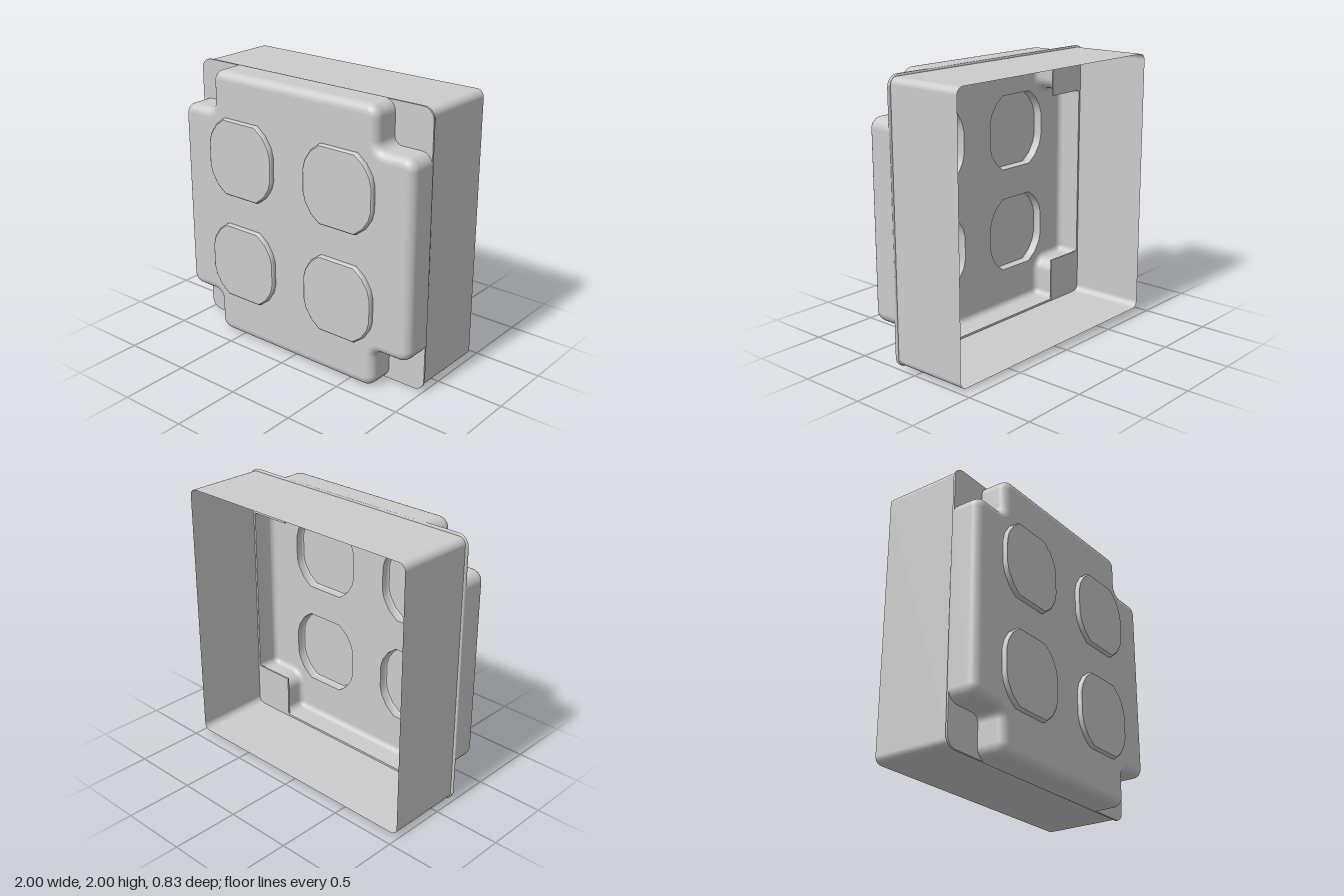
import * as THREE from 'three';

const material = new THREE.MeshStandardMaterial({ color: 0xcccccc, side: THREE.DoubleSide });
const CY = 1; // height of the box centre

// Points along an arc
function arc(cx, cy, r, from, to, steps = 6) {
  const pts = [];
  for (let i = 0; i <= steps; i++) {
    const a = (from + (to - from) * i / steps) * Math.PI / 180;
    pts.push(new THREE.Vector2(cx + r * Math.cos(a), cy + r * Math.sin(a)));
  }
  return pts;
}

// Repeat one quadrant of an outline four times around the centre
function fourfold(quadrant) {
  const pts = [];
  for (let k = 0; k < 4; k++)
    for (const p of quadrant) pts.push(p.clone().rotateAround(new THREE.Vector2(), k * Math.PI / 2));
  return pts;
}

const roundedSquare = (h, r) => fourfold(arc(h - r, h - r, r, 0, 90));

// Square with notched corners, moved inwards by "inset"
function notchedOutline(inset) {
  const h = 1 - inset, n = 0.71 - inset, r = 0.08 - inset, R = 0.06 + inset;
  return fourfold([
    ...arc(h - r, n - r, r, 0, 90),
    ...arc(n + R, n + R, R, 270, 180),
    ...arc(n - r, h - r, r, 0, 90),
  ]);
}

// Skin through closed outlines, each given as [points, z]
function loft(sections) {
  const pos = [], idx = [], n = sections[0][0].length;
  for (const [pts, z] of sections) for (const p of pts) pos.push(p.x, p.y, z);
  for (let j = 0; j < sections.length - 1; j++)
    for (let i = 0; i < n; i++) {
      const a = j * n + i, b = j * n + (i + 1) % n;
      idx.push(a, b, b + n, a, b + n, a + n);
    }
  const g = new THREE.BufferGeometry();
  g.setAttribute('position', new THREE.Float32BufferAttribute(pos, 3));
  g.setIndex(idx);
  g.computeVertexNormals();
  return g;
}

function sheet(outline, holes, z) {
  const shape = new THREE.Shape(outline);
  shape.holes = holes.map(h => new THREE.Path(h));
  return new THREE.ShapeGeometry(shape).translate(0, 0, z);
}

// Clipped-circle outline of a knockout cap
function capOutline(cx, cy, s = 1) {
  const q = [[0.29, 0.085], [0.272, 0.15], [0.222, 0.225], [0.15, 0.28]];
  const flip = (sx, sy) => q.map(([x, y]) => [x * sx, y * sy]);
  return [...flip(1, 1), ...flip(-1, 1).reverse(), ...flip(-1, -1), ...flip(1, -1).reverse()]
    .map(([x, y]) => new THREE.Vector2(cx + x * s, cy + y * s));
}

export function createModel() {
  const group = new THREE.Group();
  const add = (name, geometry) => {
    const mesh = new THREE.Mesh(geometry, material);
    mesh.name = name;
    mesh.position.y = CY;
    group.add(mesh);
  };

  // Box walls, open at the back
  const wall = roundedSquare(0.985, 0.05);
  add('boxWalls', loft([[wall, -0.415], [wall, 0.17]]));

  // Narrow rim where the cover overlaps the box
  const rim = roundedSquare(1, 0.08);
  add('rim', loft([[wall, 0.165], [rim, 0.165], [rim, 0.18]]));

  // Corner plates behind the notches
  const plate = new THREE.Shape([
    new THREE.Vector2(0.65, 0.65), new THREE.Vector2(1, 0.65),
    ...arc(0.92, 0.92, 0.08, 0, 90), new THREE.Vector2(0.65, 1),
  ]);
  for (let k = 0; k < 4; k++)
    add('cornerPlate', new THREE.ExtrudeGeometry(plate, { depth: 0.012, bevelEnabled: false })
      .translate(0, 0, 0.168).rotateZ(k * Math.PI / 2));

  // Cover side with a rounded front edge, outside and inside
  const outer = [[notchedOutline(0), 0.17]], inner = [];
  for (let i = 0; i <= 6; i++) {
    const a = i / 6 * Math.PI / 2, c = 1 - Math.cos(a), s = Math.sin(a);
    outer.push([notchedOutline(0.06 * c), 0.32 + 0.06 * s]);
    inner.unshift([notchedOutline(0.03 + 0.04 * c), 0.31 + 0.04 * s]);
  }
  inner.push([notchedOutline(0.03), 0.17]);
  add('coverOuterSide', loft(outer));
  add('coverInnerSide', loft(inner));
  add('coverBackEdge', loft([[notchedOutline(0.03), 0.17], [notchedOutline(0), 0.17]]));

  // Cover face with four raised knockout caps
  const centres = [];
  for (const x of [-0.44, 0.42]) for (const y of [-0.395, 0.395]) centres.push([x, y]);
  const holes = centres.map(([x, y]) => capOutline(x, y));
  add('coverFace', sheet(notchedOutline(0.06), holes, 0.38));
  add('coverInnerFace', sheet(notchedOutline(0.07), holes, 0.35));

  for (const [x, y] of centres) {
    const full = capOutline(x, y), mid = capOutline(x, y, 0.992), top = capOutline(x, y, 0.97);
    add('capSide', loft([[full, 0.35], [full, 0.398], [mid, 0.407], [top, 0.412]]));
    add('capFace', sheet(top, [], 0.412));
  }
  return group;
}
